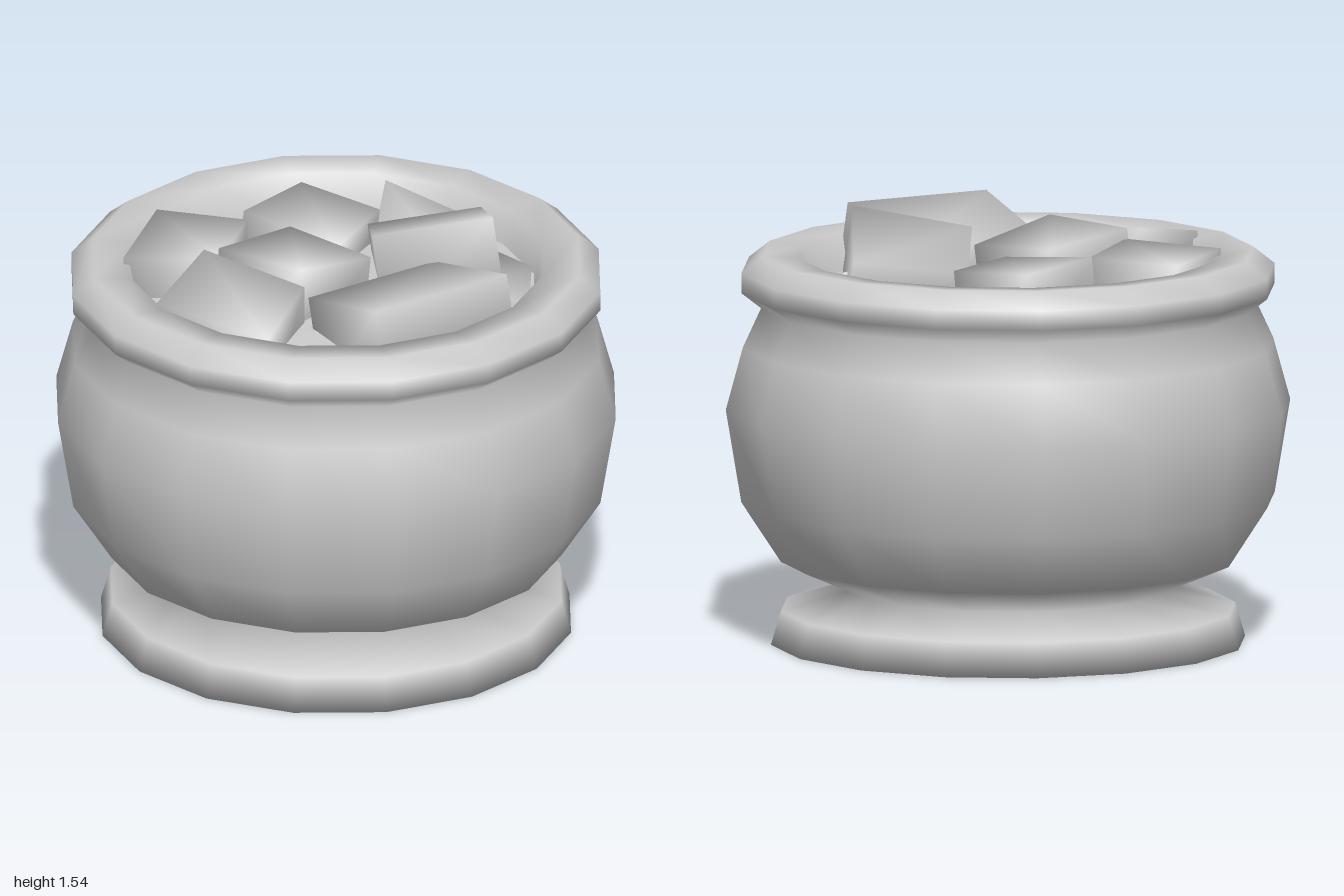
import * as THREE from 'three';

const material = new THREE.MeshStandardMaterial({ color: 0xcccccc, side: THREE.DoubleSide });

function addMesh(group, name, geometry) {
  const mesh = new THREE.Mesh(geometry, material);
  mesh.name = name;
  group.add(mesh);
}

// Sixteen-sided smooth turned shape; the profile runs from the bottom upward
function turned(profile) {
  return new THREE.LatheGeometry(profile.map(([r, y]) => new THREE.Vector2(r, y)), 16);
}

// Chunk grown downward from four top corners, with shared corner normals for soft shading
function chunk(corners, depth) {
  const top = corners.map((c) => new THREE.Vector3(...c));
  const a = top[2].clone().sub(top[0]);
  const b = top[3].clone().sub(top[1]);
  const normal = a.cross(b).normalize();
  if (normal.y < 0) {
    normal.negate();
    top.reverse();
  }
  const bottom = top.map((p) => p.clone().addScaledVector(normal, -depth));
  const index = [0, 1, 2, 0, 2, 3, 4, 6, 5, 4, 7, 6];
  for (let i = 0; i < 4; i++) {
    const j = (i + 1) % 4;
    index.push(i, i + 4, j, j, i + 4, j + 4);
  }
  const geometry = new THREE.BufferGeometry().setFromPoints([...top, ...bottom]);
  geometry.setIndex(index);
  geometry.computeVertexNormals();
  return geometry;
}

export function createModel() {
  const model = new THREE.Group();
  model.name = 'filledPot';

  // Foot, round belly, thick rim and inner wall
  addMesh(model, 'pot', turned([
    [0, 0], [0.84, 0], [0.805, 0.12], [0.56, 0.19], [0.805, 0.295], [0.945, 0.51],
    [1, 0.84], [0.94, 1.06], [0.875, 1.2], [0.945, 1.255], [0.945, 1.325],
    [0.87, 1.385], [0.74, 1.375], [0.7, 1.2],
  ]));

  // Surface between the chunks
  addMesh(model, 'filling', turned([[0.72, 1.25], [0.4, 1.27], [0, 1.28]].reverse()).scale(1, 1, 1));

  // Tilted chunks, each given by its top corners
  const chunks = {
    frontChunk: [[-0.27, 1.38, 0.22], [0.27, 1.38, 0.22], [0.28, 1.49, 0.65], [-0.28, 1.49, 0.65]],
    rightChunk: [[0.28, 1.36, -0.21], [0.64, 1.4, -0.03], [0.45, 1.54, 0.32], [0.1, 1.47, 0.08]],
    centreChunk: [[-0.39, 1.46, -0.16], [-0.03, 1.42, -0.24], [0.08, 1.4, 0.1], [-0.27, 1.47, 0.18]],
    backLeftChunk: [[-0.31, 1.4, -0.66], [-0.64, 1.4, -0.39], [-0.39, 1.42, -0.15], [-0.11, 1.41, -0.39]],
    backChunk: [[0.24, 1.4, -0.56], [-0.09, 1.42, -0.44], [0.05, 1.38, -0.07], [0.36, 1.38, -0.25]],
    leftChunk: [[-0.76, 1.4, -0.01], [-0.44, 1.46, -0.18], [-0.28, 1.42, 0.21], [-0.57, 1.36, 0.4]],
    lowRightChunk: [[0.53, 1.37, -0.46], [0.3, 1.3, -0.2], [0.48, 1.22, 0.08], [0.7, 1.29, -0.15]],
    lowFrontRightChunk: [[0.56, 1.33, 0.18], [0.65, 1.28, 0.27], [0.48, 1.26, 0.5], [0.33, 1.31, 0.35]],
  };
  for (const [name, corners] of Object.entries(chunks)) {
    addMesh(model, name, chunk(corners, name.startsWith('low') ? 0.2 : 0.36));
  }
  return model;
}
